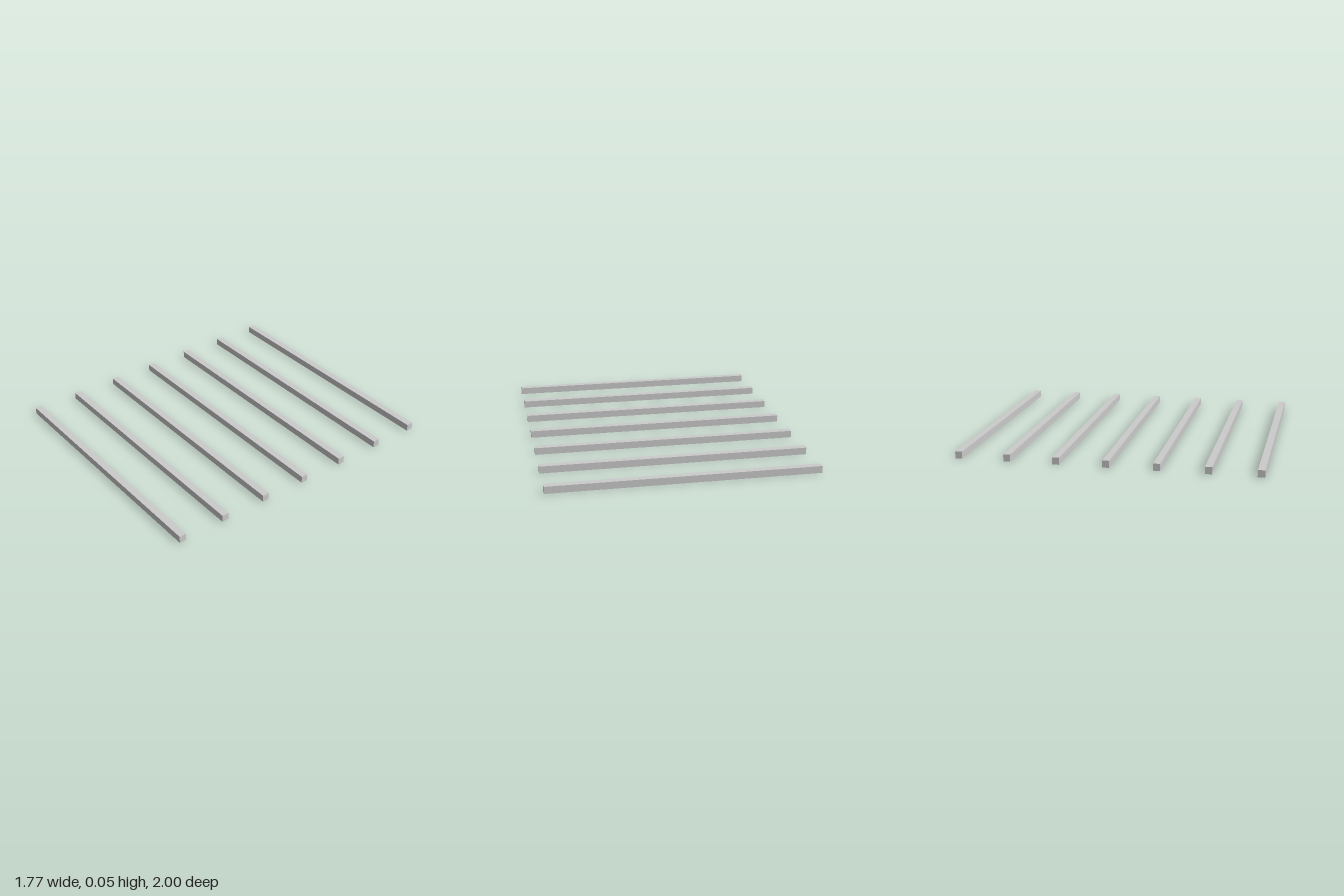
import * as THREE from 'three';

export function createModel() {
  const group = new THREE.Group();
  group.name = 'slats';
  const material = new THREE.MeshStandardMaterial({ color: 0xcccccc });

  // Seven identical square bars, evenly spaced from back to front
  const count = 7, length = 1.77, height = 0.047, depth = 0.046;
  const spacing = (2 - depth) / (count - 1);
  const geometry = new THREE.BoxGeometry(length, height, depth);

  for (let i = 0; i < count; i++) {
    const slat = new THREE.Mesh(geometry, material);
    slat.name = `slat${i + 1}`;
    slat.position.set(0, height / 2, (i - (count - 1) / 2) * spacing);
    group.add(slat);
  }
  return group;
}
